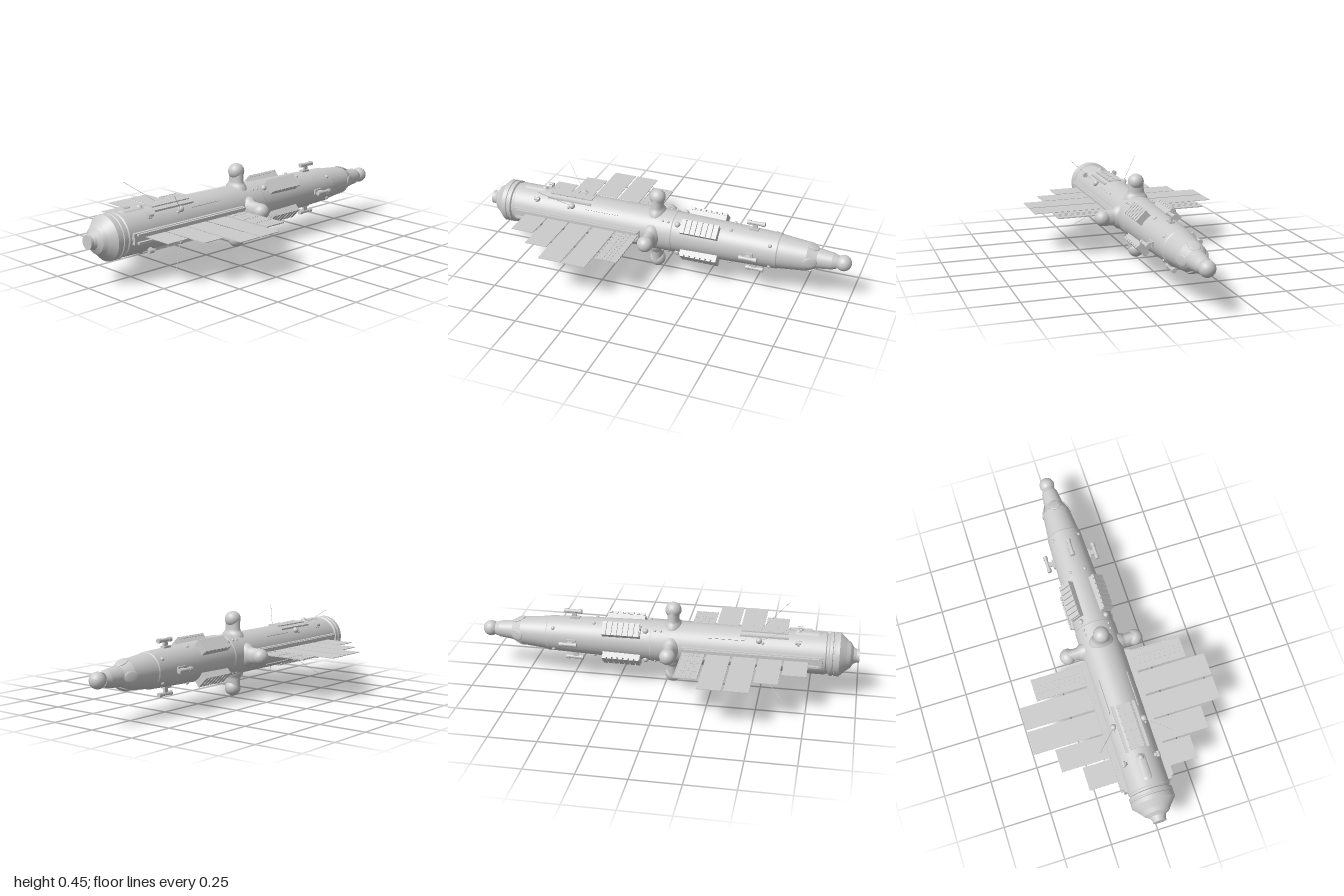
import * as THREE from 'three';

const AXIS = 0.225;
const mat = new THREE.MeshStandardMaterial({ color: 0xcccccc, side: THREE.DoubleSide });

export function createModel() {
  const ship = new THREE.Group();
  ship.name = 'spacecraft';

  const add = (parent, name, geo, x = 0, y = 0, z = 0) => {
    const m = new THREE.Mesh(geo, mat);
    m.name = name;
    m.position.set(x, y, z);
    parent.add(m);
    return m;
  };
  const box = (w, h, d) => new THREE.BoxGeometry(w, h, d);
  const ball = (r) => new THREE.SphereGeometry(r, 24, 16);
  // Cylinder lying along z
  const tubeZ = (r, len) => new THREE.CylinderGeometry(r, r, len, 16).rotateX(Math.PI / 2);
  // Group around the hull axis whose local +y points outward
  const radial = (name, degrees) => {
    const g = new THREE.Group();
    g.name = name;
    g.position.y = AXIS;
    g.rotation.z = THREE.MathUtils.degToRad(degrees);
    ship.add(g);
    return g;
  };
  // Body of revolution from [z, radius] pairs; corners stay sharp because each band is separate
  const revolve = (name, profile) => {
    const g = radial(name, 0);
    for (let i = 0; i < profile.length - 1; i++) {
      const pts = [profile[i], profile[i + 1]].map(([z, r]) => new THREE.Vector2(r, z));
      add(g, name + 'Section', new THREE.LatheGeometry(pts, 48).rotateX(Math.PI / 2));
    }
  };

  // Hull sections
  revolve('tail', [[-0.93, 0.034], [-0.905, 0.043], [-0.83, 0.052], [-0.78, 0.074], [-0.635, 0.088]]);
  revolve('rearHull', [[-0.635, 0.088], [-0.63, 0.092], [-0.36, 0.1], [-0.075, 0.106], [-0.07, 0.109]]);
  revolve('mainHull', [[-0.07, 0.109], [0.83, 0.109], [0.835, 0.104], [0.845, 0.104], [0.85, 0.113]]);
  revolve('nose', [[0.85, 0.113], [0.865, 0.113], [0.868, 0.109], [0.874, 0.109], [0.877, 0.113],
    [0.9, 0.113], [0.935, 0.08], [0.955, 0.066], [0.97, 0.042], [0.985, 0.035], [1, 0.035], [1, 0]]);
  add(ship, 'tailBall', ball(0.041), 0, AXIS, -0.959);

  // Four domed pods on flared necks
  const flare = [[0.064, 0.09], [0.06, 0.108], [0.05, 0.117], [0.043, 0.131], [0.042, 0.18]]
    .map(([r, y]) => new THREE.Vector2(r, y));
  for (let a = 0; a < 360; a += 90) {
    const pod = radial('pod', a);
    add(pod, 'podDome', ball(0.042), 0, 0.183, 0.035);
    add(pod, 'podNeck', new THREE.LatheGeometry(flare, 32), 0, 0, 0.035).scale.z = 0.72;

    // Twin-ended tube on a bracket
    const thruster = radial('rearThruster', a);
    add(thruster, 'thrusterTube', tubeZ(0.0095, 0.06), 0, 0.134, -0.5);
    for (const z of [-0.537, -0.463])
      add(thruster, 'thrusterBell', tubeZ(0.012, 0.02), 0, 0.134, z);
    add(thruster, 'thrusterBracket', box(0.012, 0.045, 0.025), 0, 0.11, -0.495);
    add(thruster, 'thrusterFoot', box(0.026, 0.012, 0.05), 0, 0.099, -0.49);

    // Oval covers on the tail taper
    const cover = add(radial('tailCover', a), 'tailCoverPlate', ball(1), 0, 0.064, -0.8);
    cover.scale.set(0.03, 0.007, 0.038);
    cover.rotation.x = -0.4;
  }

  // Diagonal equipment
  for (let a = 45; a < 360; a += 90) {
    const bank = radial('ribbedBank', a);
    add(bank, 'bankBase', box(0.068, 0.03, 0.2), 0, 0.109, -0.225);
    for (let i = 0; i < 7; i++)
      add(bank, 'bankRib', box(0.074, 0.012, 0.022), 0, 0.128, -0.14 - i * 0.029);

    const jet = radial('steeringJet', a);
    add(jet, 'jetPost', box(0.018, 0.03, 0.014), 0, 0.113, 0.69);
    add(jet, 'jetHead', tubeZ(0.01, 0.028), 0, 0.127, 0.69);
    add(jet, 'jetCross', box(0.03, 0.01, 0.012), 0, 0.124, 0.69);

    add(radial('hullStrip', a), 'hullStripBar', box(0.01, 0.008, 0.19), 0, 0.109, 0.325);

    const mast = radial('antenna', a);
    add(mast, 'antennaBase', ball(0.016), 0, 0.114, 0.49);
    const path = new THREE.LineCurve3(new THREE.Vector3(0, 0.11, 0.49), new THREE.Vector3(0, 0.27, 0.625));
    add(mast, 'antennaRod', new THREE.TubeGeometry(path, 1, 0.0012, 6));
  }

  // Small sensor domes scattered in mirrored rings: [z, hull radius, angle, size]
  for (const [z, r, a, s] of [[-0.1, 0.106, 40, 0.015], [-0.05, 0.109, 38, 0.007], [-0.02, 0.109, 38, 0.007],
    [-0.38, 0.1, 24, 0.009], [-0.595, 0.092, 50, 0.01], [0.51, 0.109, 50, 0.008]])
    for (const q of [a, -a, 180 + a, 180 - a])
      add(radial('sensor', q), 'sensorDome', ball(s), 0, r, z);

  // Dorsal and ventral bays
  for (const a of [0, 180]) {
    const bay = radial('equipmentBay', a);
    add(bay, 'bayPlate', box(0.125, 0.03, 0.25), 0, 0.083, 0.515);
    add(bay, 'bayLid', box(0.07, 0.006, 0.24), 0, 0.108, 0.515);
    for (let i = 0; i < 6; i++)
      add(bay, 'bayCrossbar', box(0.08, 0.006, 0.006), 0, 0.109, 0.41 + i * 0.042);
    const hatch = radial('noseHatch', a);
    const capsule = new THREE.CapsuleGeometry(0.024, 0.1, 6, 20).rotateX(Math.PI / 2);
    add(hatch, 'hatchCover', capsule, 0, 0.104, 0.735).scale.y = 0.45;
    add(hatch, 'hatchLens', ball(0.016), 0, 0.108, 0.685);
  }

  // Side rails and stepped solar panels: [front z, back z, outer x]
  const panels = [[0.1, 0.22, 0.405], [0.23, 0.352, 0.5], [0.363, 0.487, 0.5],
    [0.495, 0.616, 0.39], [0.625, 0.747, 0.285]];
  for (const side of [1, -1]) {
    const wing = new THREE.Group();
    wing.name = side > 0 ? 'leftWing' : 'rightWing';
    wing.position.y = AXIS;
    ship.add(wing);
    add(wing, 'railBase', box(0.03, 0.055, 0.72), side * 0.108, 0, 0.455);
    for (const y of [0.02, -0.02])
      add(wing, 'railEdge', box(0.022, 0.01, 0.7), side * 0.126, y, 0.45);
    panels.forEach(([z0, z1, x1], i) => {
      const w = x1 - 0.12, zc = (z0 + z1) / 2;
      add(wing, 'solarPanel', box(w, 0.003, z1 - z0), side * (0.12 + w / 2), 0, zc);
      if (i > 0) return;
      // Framed inner panel
      for (const z of [z0 + 0.003, z0 + 0.04, zc, z1 - 0.04, z1 - 0.003])
        add(wing, 'panelBar', box(w, 0.006, 0.005), side * (0.12 + w / 2), 0, z);
      for (const x of [0.15, 0.235, 0.32, x1 - 0.003])
        add(wing, 'panelCrossbar', box(0.005, 0.006, z1 - z0), side * x, 0, zc);
    });
  }
  // Low blisters beside the nose
  for (const a of [90, 270])
    add(radial('noseBlister', a), 'blister', ball(0.04), 0, 0.1, 0.785).scale.set(0.7, 0.5, 1);

  return ship;
}
